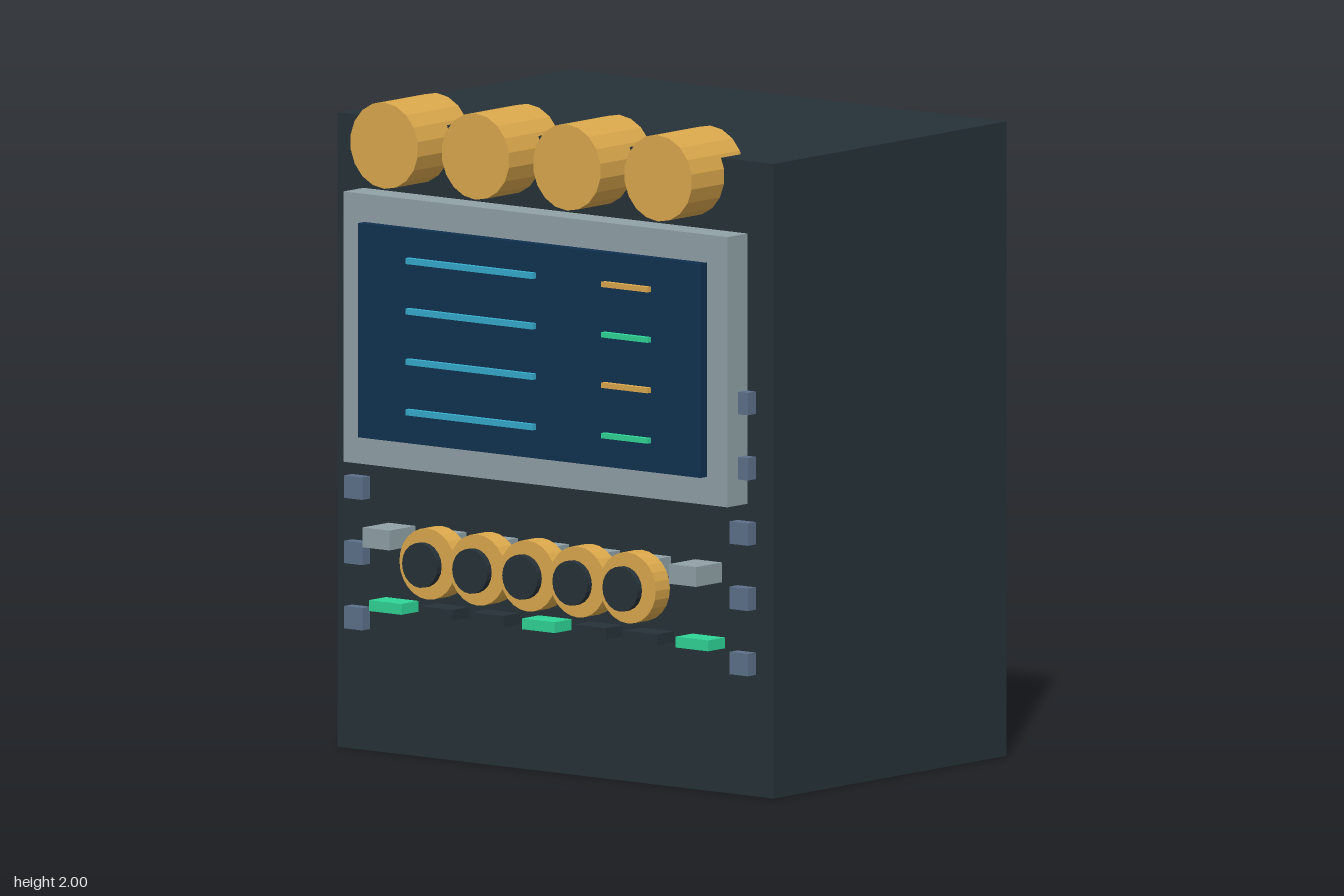
import * as THREE from 'three';

const mat = (name, color) => {
  const m = new THREE.MeshStandardMaterial({ color });
  m.name = name;
  return m;
};

export function createModel() {
  const root = new THREE.Group();
  root.name = 'controlCabinet';

  const dark = mat('charcoal', 0x263138);
  const grey = mat('steelGrey', 0x90a1a7);
  const navy = mat('screenNavy', 0x103150);
  const gold = mat('brass', 0xdba84c);
  const cyan = mat('displayCyan', 0x35aacc);
  const green = mat('signalGreen', 0x2fd596);
  const slate = mat('slateBlue', 0x5d708a);

  // Box given by x and y centre, width, height, and back and front z
  const box = (name, m, x, y, w, h, z0, z1) => {
    const mesh = new THREE.Mesh(new THREE.BoxGeometry(w, h, z1 - z0), m);
    mesh.position.set(x, y, (z0 + z1) / 2);
    mesh.name = name;
    root.add(mesh);
  };

  // Faceted cylinder lying along z
  const drum = (name, m, x, y, r, z0, z1, sides) => {
    const geo = new THREE.CylinderGeometry(r, r, z1 - z0, sides).rotateX(Math.PI / 2).toNonIndexed();
    geo.computeVertexNormals();
    const mesh = new THREE.Mesh(geo, m);
    mesh.position.set(x, y, (z0 + z1) / 2);
    mesh.name = name;
    root.add(mesh);
  };

  // Cabinet, screen frame and screen
  box('cabinet', dark, 0, 0.9625, 1.68, 1.925, -0.64, 0.475);
  box('screenFrame', grey, 0, 1.295, 1.48, 0.82, 0.47, 0.57);
  box('screen', navy, 0, 1.295, 1.32, 0.65, 0.56, 0.6);

  // Display rows: long bar and short status bar
  for (let i = 0; i < 4; i++) {
    const y = 1.526 - i * 0.153;
    box('displayBar', cyan, -0.215, y, 0.49, 0.018, 0.604, 0.622);
    box('statusBar', i % 2 ? green : gold, 0.384, y, 0.178, 0.016, 0.604, 0.622);
  }

  // Brass drums along the top edge
  for (let i = 0; i < 4; i++) drum('topDrum', gold, -0.535 + i * 0.352, 1.87, 0.131, 0.38, 0.63, 18);

  // Dials with dark faces
  for (let i = -2; i <= 2; i++) {
    drum('dial', gold, i * 0.193, 0.612, 0.108, 0.54, 0.608, 24);
    drum('dialFace', dark, i * 0.193, 0.612, 0.068, 0.624, 0.645, 20);
  }

  // Key blocks above a row of indicator buttons
  for (let i = -3; i <= 3; i++) {
    box('keyBlock', grey, i * 0.197, 0.668, 0.104, 0.06, 0.47, 0.6);
    box('indicator', i % 3 ? dark : green, i * 0.197, 0.455, 0.125, 0.033, 0.47, 0.556);
  }

  // Studs down both sides of the front
  for (const s of [-1, 1]) {
    for (let i = 0; i < 5; i++) box('sideStud', slate, s * 0.743, 0.404 + i * 0.198, 0.07, 0.068, 0.482, 0.52);
  }

  return root;
}
